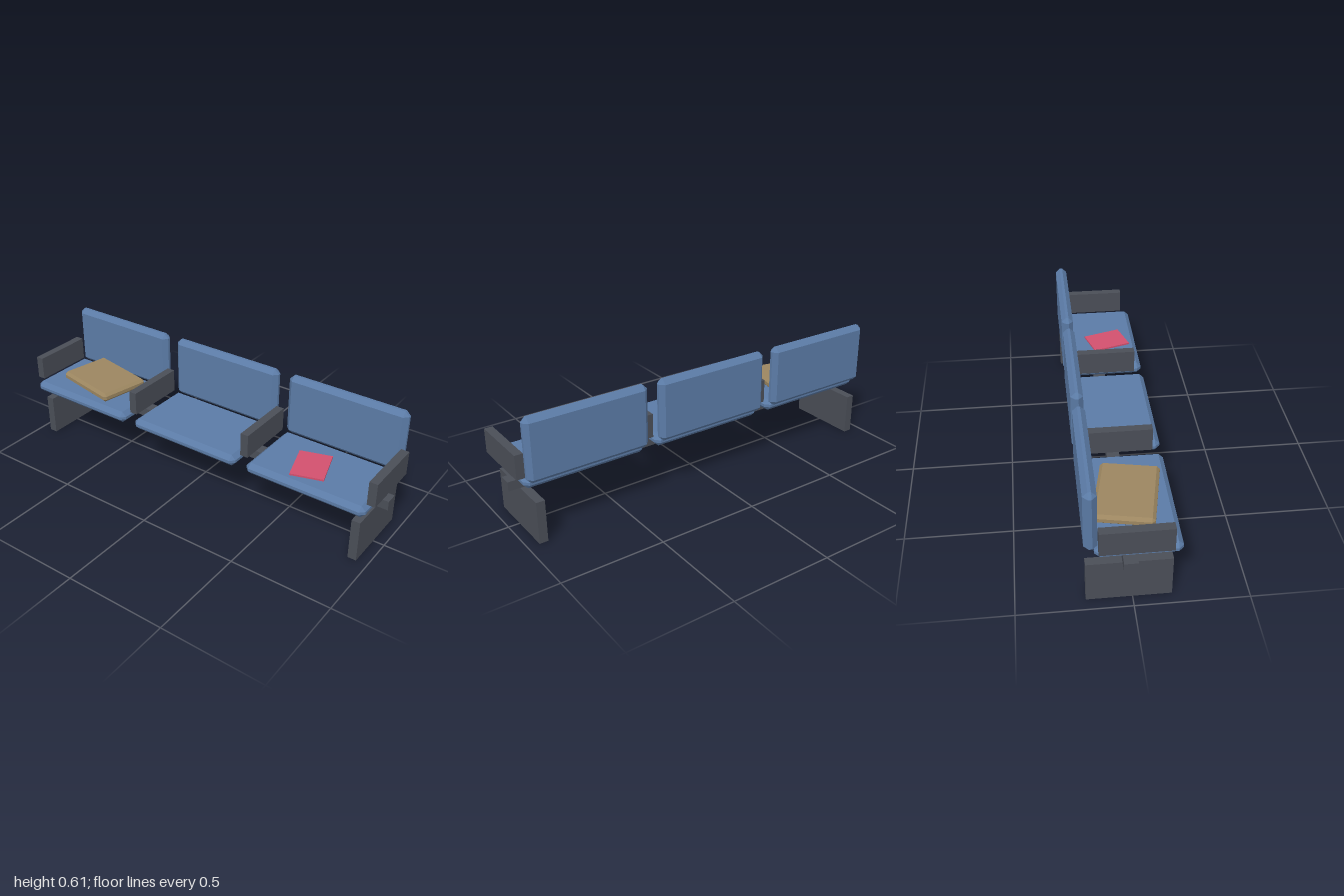
import * as THREE from 'three';
import { ConvexGeometry } from 'three/addons/geometries/ConvexGeometry.js';

const material = (name, color) => {
  const m = new THREE.MeshStandardMaterial({ color });
  m.name = name;
  return m;
};

// Box with every edge cut at 45 degrees and a triangle at each corner
function chamferBox(w, h, d, c) {
  const pts = [];
  for (const sx of [-1, 1]) for (const sy of [-1, 1]) for (const sz of [-1, 1]) {
    const [x, y, z] = [w / 2, h / 2, d / 2];
    pts.push(
      new THREE.Vector3(sx * x, sy * (y - c), sz * (z - c)),
      new THREE.Vector3(sx * (x - c), sy * y, sz * (z - c)),
      new THREE.Vector3(sx * (x - c), sy * (y - c), sz * z)
    );
  }
  return new ConvexGeometry(pts);
}

export function createModel() {
  const group = new THREE.Group();
  group.name = 'waitingBench';

  const blue = material('blueUpholstery', 0x5b7ba6);
  const grey = material('darkGreyMetal', 0x4a4e57);
  const tan = material('tanBag', 0x9c8660);
  const red = material('redCover', 0xd2506e);

  const add = (name, geometry, mat, x, y, z, turn = 0) => {
    const mesh = new THREE.Mesh(geometry, mat);
    mesh.name = name;
    mesh.position.set(x, y, z);
    mesh.rotation.y = turn;
    group.add(mesh);
  };

  // Frame: long beam and two slab legs
  add('beam', new THREE.BoxGeometry(2, 0.046, 0.06), grey, 0, 0.23, -0.015);
  const leg = new THREE.BoxGeometry(0.042, 0.207, 0.37);
  for (const s of [-1, 1]) add('leg', leg, grey, s * 0.924, 0.1035, -0.015);

  // Three seats, each a cushion and a backrest
  const cushion = chamferBox(0.605, 0.058, 0.369, 0.022);
  const back = chamferBox(0.605, 0.309, 0.058, 0.022);
  for (const x of [-0.667, 0, 0.667]) {
    add('seatCushion', cushion, blue, x, 0.282, 0.0225);
    add('backrest', back, blue, x, 0.4525, -0.177);
  }

  // Armrests between the seats and at both ends
  const arm = new THREE.BoxGeometry(0.04, 0.118, 0.31);
  for (const x of [-0.98, -0.333, 0.333, 0.98]) add('armrest', arm, grey, x, 0.37, 0.0075);

  // Things left on the seats
  add('bag', chamferBox(0.36, 0.046, 0.268, 0.014), tan, -0.666, 0.334, 0.005, -0.2);
  add('magazine', new THREE.BoxGeometry(0.157, 0.009, 0.2), red, 0.626, 0.3155, 0.049, 0.3);

  return group;
}
